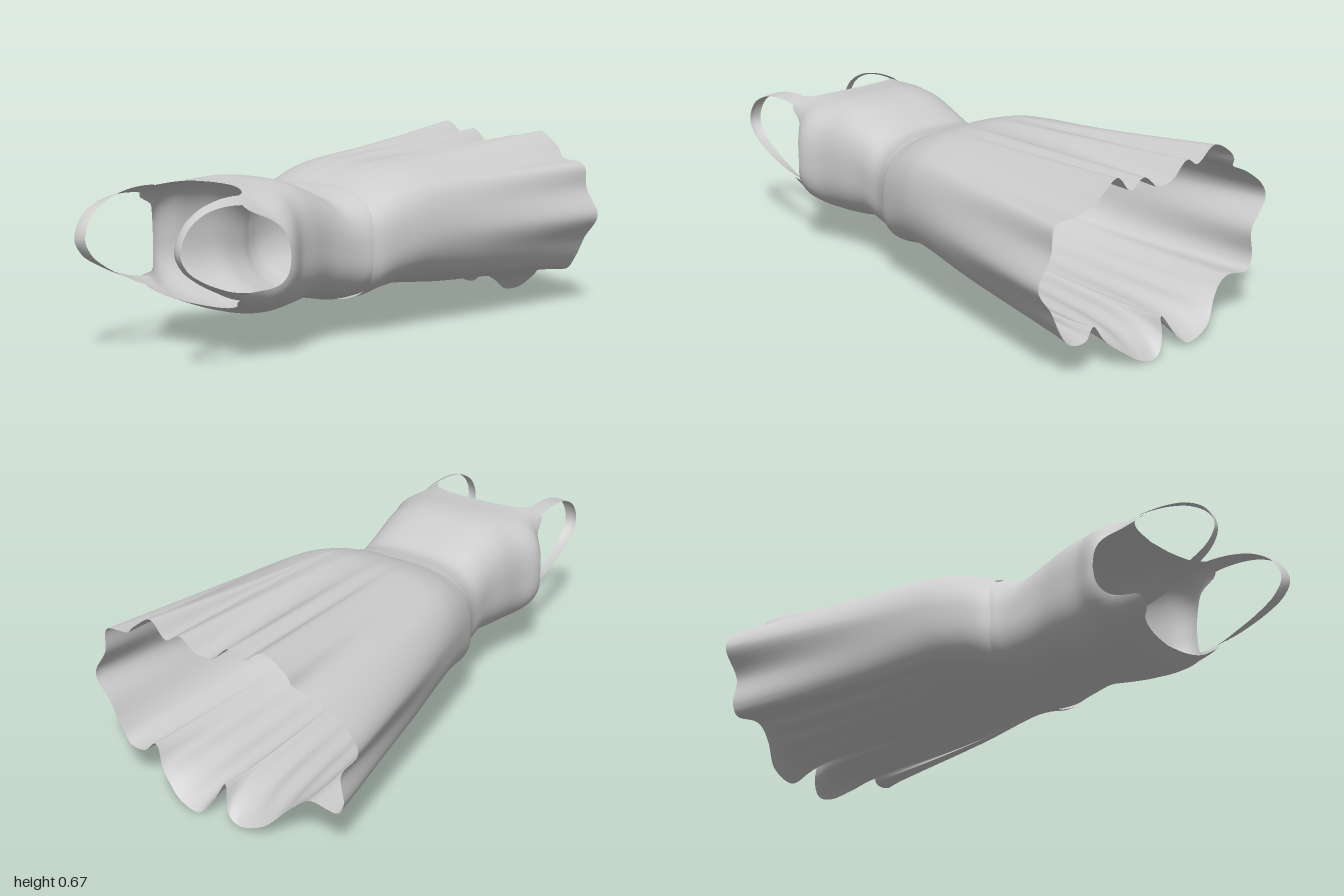
import * as THREE from 'three';

// Dress outline: z, half width, top y, bottom y
const BODICE = [
  [0.05, 0.312, 0.53, 0.118], [0.12, 0.296, 0.517, 0.113], [0.16, 0.28, 0.508, 0.117], [0.21, 0.27, 0.505, 0.126],
  [0.3, 0.265, 0.545, 0.138], [0.4, 0.28, 0.578, 0.126], [0.48, 0.295, 0.585, 0.12], [0.57, 0.327, 0.578, 0.133],
  [0.64, 0.285, 0.575, 0.16], [0.72, 0.27, 0.572, 0.195],
];
const SKIRT = [
  [-1.0, 0.505, 0.615, 0.1], [-0.8, 0.482, 0.612, 0.1], [-0.4, 0.425, 0.602, 0.115], [-0.12, 0.375, 0.59, 0.14],
  [0, 0.345, 0.562, 0.128], [0.06, 0.328, 0.536, 0.113], [0.09, 0.318, 0.524, 0.11], [0.12, 0.296, 0.517, 0.113],
];
// Wavy hem seen along the dress, counter-clockwise
const HEM = [
  [0.537, 0.35], [0.485, 0.45], [0.47, 0.54], [0.37, 0.56], [0.3, 0.62], [0.24, 0.655], [0.18, 0.6], [0.12, 0.63],
  [0.05, 0.58], [0, 0.58], [-0.08, 0.645], [-0.13, 0.62], [-0.21, 0.668], [-0.3, 0.62], [-0.33, 0.57], [-0.43, 0.52],
  [-0.52, 0.45], [-0.538, 0.4], [-0.472, 0.3], [-0.482, 0.2], [-0.458, 0.157], [-0.35, 0.165], [-0.28, 0.115],
  [-0.2, 0.04], [-0.1, 0.012], [-0.055, 0.04], [-0.015, 0.115], [0.01, 0.06], [0.06, 0.003], [0.13, 0.015], [0.2, 0.06],
  [0.25, 0.1], [0.29, 0.16], [0.33, 0.125], [0.4, 0.13], [0.44, 0.18], [0.48, 0.26],
];
// Upper edge of the bodice: angle in degrees from the side, z, extra z on the underside
const NECK = [
  [0, 0.573, 0], [18, 0.585, 0], [29, 0.62, 0], [37, 0.7, 0], [49, 0.705, 0],
  [55, 0.655, 0.025], [70, 0.615, 0.045], [90, 0.6, 0.05],
];

// Smooth interpolation of a table by its first column
function sample(table, x) {
  const n = table.length;
  x = THREE.MathUtils.clamp(x, table[0][0], table[n - 1][0]);
  let i = 0;
  while (i < n - 2 && x > table[i + 1][0]) i++;
  const slope = (k, c) => {
    const a = table[Math.max(k - 1, 0)], b = table[Math.min(k + 1, n - 1)];
    return (b[c] - a[c]) / (b[0] - a[0]);
  };
  const p = table[i], q = table[i + 1], h = q[0] - p[0], t = (x - p[0]) / h, t2 = t * t, t3 = t2 * t;
  return p.map((_, c) => (2 * t3 - 3 * t2 + 1) * p[c] + (t3 - 2 * t2 + t) * h * slope(i, c)
    + (3 * t2 - 2 * t3) * q[c] + (t3 - t2) * h * slope(i + 1, c));
}

// Boxy oval radius in a given direction
const oval = (th, n) => (Math.abs(Math.cos(th)) ** n + Math.abs(Math.sin(th)) ** n) ** (-1 / n);

// Waist and bodice are boxier on top than underneath
const boxiness = (th) => 2.65 + 0.35 * Math.sin(th);

// Point on a cross-section
function sectionPoint(table, z, th, n, swell = 1) {
  const [, w, top, bot] = sample(table, z), r = oval(th, n) * swell;
  return [w * r * Math.cos(th), (top + bot) / 2 + (top - bot) / 2 * r * Math.sin(th), z];
}

// Grid surface from a point rule, closed or open across u
function loft(nu, nv, closed, point) {
  const pos = [], idx = [], cols = closed ? nu : nu + 1;
  for (let j = 0; j <= nv; j++) for (let i = 0; i < cols; i++) pos.push(...point(i, j / nv));
  for (let j = 0; j < nv; j++) for (let i = 0; i < nu; i++) {
    const a = j * cols + i, b = j * cols + (i + 1) % cols;
    idx.push(a, b, b + cols, a, b + cols, a + cols);
  }
  const g = new THREE.BufferGeometry();
  g.setAttribute('position', new THREE.Float32BufferAttribute(pos, 3));
  g.setIndex(idx);
  g.computeVertexNormals();
  return g;
}

export function createModel() {
  const group = new THREE.Group();
  const cloth = new THREE.MeshStandardMaterial({ color: 0xcccccc, side: THREE.DoubleSide });
  const add = (name, geometry) => {
    const mesh = new THREE.Mesh(geometry, cloth);
    mesh.name = name;
    group.add(mesh);
  };
  const { lerp, smoothstep, radToDeg } = THREE.MathUtils;

  // Bodice, cut to the neckline and armholes
  const N = 180;
  add('bodice', loft(N, 36, true, (i, v) => {
    const th = i / N * Math.PI * 2, s = Math.sin(th);
    const [, edge, under] = sample(NECK, radToDeg(Math.atan2(Math.abs(s), Math.abs(Math.cos(th)))));
    const z = lerp(0.1 - 0.05 * s * s, edge + (s < 0 ? under : 0), v);
    const p = sectionPoint(BODICE, z, th, lerp(boxiness(th), 4, smoothstep(z, 0.56, 0.7)));
    // Slight hollow along the middle of the underside
    if (s < 0) p[1] += 0.02 * Math.exp(-((p[0] / 0.08) ** 2) - ((z - 0.3) / 0.15) ** 2);
    return p;
  }));

  // Skirt, with pleats that deepen towards the hem
  const M = HEM.length * 6;
  const rim = new THREE.CatmullRomCurve3(HEM.map(([x, y]) => new THREE.Vector3(x, y, 0)), true, 'centripetal');
  const folds = rim.getPoints(M).slice(0, M).map((p) => {
    const hemZ = -0.935 - 0.038 * smoothstep(p.y, 0.54, 0.6) - 0.06 * (1 - smoothstep(p.y, 0.0, 0.16));
    const [, w, top, bot] = sample(SKIRT, hemZ);
    const x = p.x / w, y = (2 * p.y - top - bot) / (top - bot), th = Math.atan2(y, x);
    return { th, swell: Math.hypot(x, y) / oval(th, 2.5) - 1, hemZ };
  });
  add('skirt', loft(M, 44, true, (i, v) => {
    const { th, swell, hemZ } = folds[i];
    const t = 1 - v, z = lerp(hemZ, 0.12 - 0.04 * Math.sin(th) ** 2, v);
    // The underside kicks out only close to the hem and carries fine ripples
    const low = smoothstep(-Math.sin(th), 0.65, 0.85);
    const kick = swell > 0 ? 0.88 * t ** 12 + 0.12 * t ** 2 : t ** 3;
    const ripple = 0.035 * low * t * t * (1 - t ** 8) * Math.cos(th * 28);
    const n = lerp(2.5, boxiness(th), v);
    return sectionPoint(SKIRT, z, th, n, 1 + swell * lerp(t ** 1.6, kick, low) + ripple);
  }));

  // Shoulder straps: thin ribbons looping from top to underside
  const loop = new THREE.CatmullRomCurve3([
    [0.542, 0.67], [0.547, 0.74], [0.542, 0.82], [0.521, 0.9], [0.475, 0.968], [0.405, 0.998],
    [0.35, 0.97], [0.302, 0.9], [0.258, 0.8], [0.238, 0.74], [0.224, 0.67],
  ].map(([y, z]) => new THREE.Vector3(0, y, z)));
  for (const side of [1, -1]) {
    add(side > 0 ? 'leftStrap' : 'rightStrap', loft(2, 48, false, (i, v) => {
      const p = loop.getPoint(v), k = i - 1;
      // Inner edge sits inside the loop; the ends follow the rounded bodice
      const inset = k < 0 ? 0.012 * Math.sin(v * Math.PI) : 0;
      const tilt = -0.016 * k * Math.cos(v * Math.PI) * Math.abs(2 * v - 1);
      return [side * (0.232 - 0.007 * v + 0.02 * k), p.y + tilt, p.z - inset];
    }));
  }
  return group;
}
